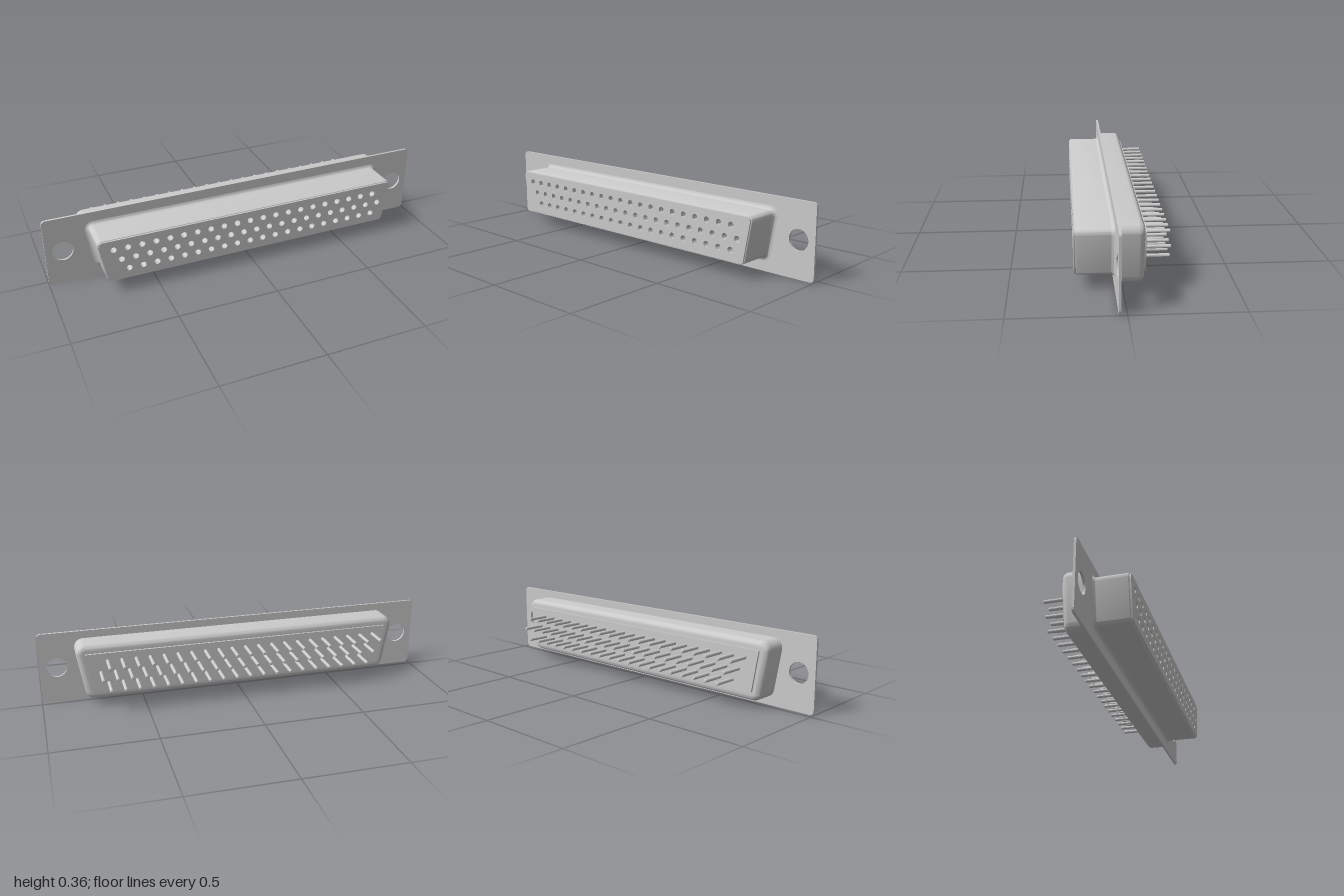
import * as THREE from 'three';
import { toCreasedNormals } from 'three/addons/utils/BufferGeometryUtils.js';

const material = new THREE.MeshStandardMaterial({ color: 0xcccccc });
const MID = 0.181; // height of the connector axis
const SLANT = THREE.MathUtils.degToRad(10);

// Rounded D outline, counter-clockwise: half width at the top, half height, corner radius.
function dOutline(w, h, r) {
  const cy = h - r, top = w - r, bottom = top - 2 * cy * Math.tan(SLANT);
  const q = Math.PI / 2;
  const corners = [
    [top, cy, -SLANT, q],
    [-top, cy, q, 2 * q + SLANT],
    [-bottom, -cy, 2 * q + SLANT, 3 * q],
    [bottom, -cy, 3 * q, 4 * q - SLANT],
  ];
  const points = [];
  for (const [x, y, from, to] of corners) {
    for (let i = 0; i <= 8; i++) {
      const a = from + ((to - from) * i) / 8;
      points.push(new THREE.Vector2(x + r * Math.cos(a), MID + y + r * Math.sin(a)));
    }
  }
  return points;
}

// Skin over D outlines given as [offset, z], listed with z rising.
function dShell(w, h, r, sections) {
  const position = [], index = [];
  let n = 0;
  for (const [off, z] of sections) {
    const loop = dOutline(w + off, h + off, r + off);
    n = loop.length;
    loop.forEach((p) => position.push(p.x, p.y, z));
  }
  for (let s = 0; s < sections.length - 1; s++) {
    for (let j = 0; j < n; j++) {
      const a = s * n + j, b = s * n + ((j + 1) % n);
      index.push(a, b, b + n, a, b + n, a + n);
    }
  }
  const geometry = new THREE.BufferGeometry();
  geometry.setAttribute('position', new THREE.Float32BufferAttribute(position, 3));
  geometry.setIndex(index);
  return toCreasedNormals(geometry, 0.6);
}

// Quarter-circle run of [offset, z] sections.
function arc(offset, z, r, from, to) {
  return Array.from({ length: 7 }, (_, i) => {
    const a = THREE.MathUtils.degToRad(from + ((to - from) * i) / 6);
    return [offset + r * Math.cos(a), z + r * Math.sin(a)];
  });
}

function slab(shape, z0, z1) {
  const geometry = new THREE.ExtrudeGeometry(shape, { depth: z1 - z0, bevelEnabled: false, curveSegments: 16 });
  geometry.translate(0, 0, z0);
  return toCreasedNormals(geometry, 0.6);
}

function circlePath(x, y, r) {
  return new THREE.Path().absarc(x, y, r, 0, Math.PI * 2, true);
}

export function createModel() {
  const model = new THREE.Group();
  const add = (name, geometry, parent = model) => {
    const mesh = new THREE.Mesh(geometry, material);
    mesh.name = name;
    parent.add(mesh);
    return mesh;
  };

  // Contact positions: three staggered rows
  const pitch = 0.06936;
  const contacts = [];
  for (const [x0, y, count] of [[-0.711, 0.24, 21], [-0.676, 0.182, 21], [-0.642, 0.125, 20]]) {
    for (let i = 0; i < count; i++) contacts.push([x0 + i * pitch, y]);
  }

  // Mounting flange with two screw holes
  const plate = new THREE.Shape();
  const c = 0.02, H = 0.361;
  plate.absarc(1 - c, c, c, -Math.PI / 2, 0);
  plate.absarc(1 - c, H - c, c, 0, Math.PI / 2);
  plate.absarc(-1 + c, H - c, c, Math.PI / 2, Math.PI);
  plate.absarc(-1 + c, c, c, Math.PI, Math.PI * 1.5);
  plate.closePath();
  for (const side of [-1, 1]) plate.holes.push(circlePath(side * 0.915, 0.181, 0.05));
  add('mountingFlange', slab(plate, 0.025, 0.036));

  // Front shell, flared into the flange and rounded at the rim
  add('frontShell', dShell(0.784, 0.114, 0.025, [
    ...arc(0.018, 0.054, 0.018, 270, 180),
    ...arc(-0.004, 0.2, 0.004, 0, 90),
    [-0.012, 0.204],
  ]));

  // Front insulator with socket holes
  const face = new THREE.Shape(dOutline(0.779, 0.109, 0.02));
  for (const [x, y] of contacts) face.holes.push(circlePath(x, y, 0.015));
  add('frontInsulator', slab(face, 0.17, 0.212));
  add('socketFloor', slab(new THREE.Shape(dOutline(0.775, 0.105, 0.016)), 0.16, 0.17));

  // Rear shell with a rounded back edge
  add('rearShell', dShell(0.824, 0.142, 0.045, [
    [-0.044, -0.09],
    ...arc(-0.026, -0.064, 0.026, -90, 0),
    [0, 0.025],
  ]));

  // Rear insulator plate
  add('rearInsulator', slab(new THREE.Shape(dOutline(0.782, 0.1, 0.008)), -0.099, -0.08));

  // Rear solder pins with chamfered tips
  const r = 0.0085;
  const profile = [[0, -0.212], [r - 0.002, -0.212], [r, -0.21], [r, -0.09]];
  const pinGeometry = toCreasedNormals(
    new THREE.LatheGeometry(profile.map(([x, y]) => new THREE.Vector2(x, y)), 14).rotateX(Math.PI / 2), 0.6);
  const pins = new THREE.Group();
  pins.name = 'rearPins';
  model.add(pins);
  for (const [x, y] of contacts) add('pin', pinGeometry, pins).position.set(x, y, 0);

  return model;
}
